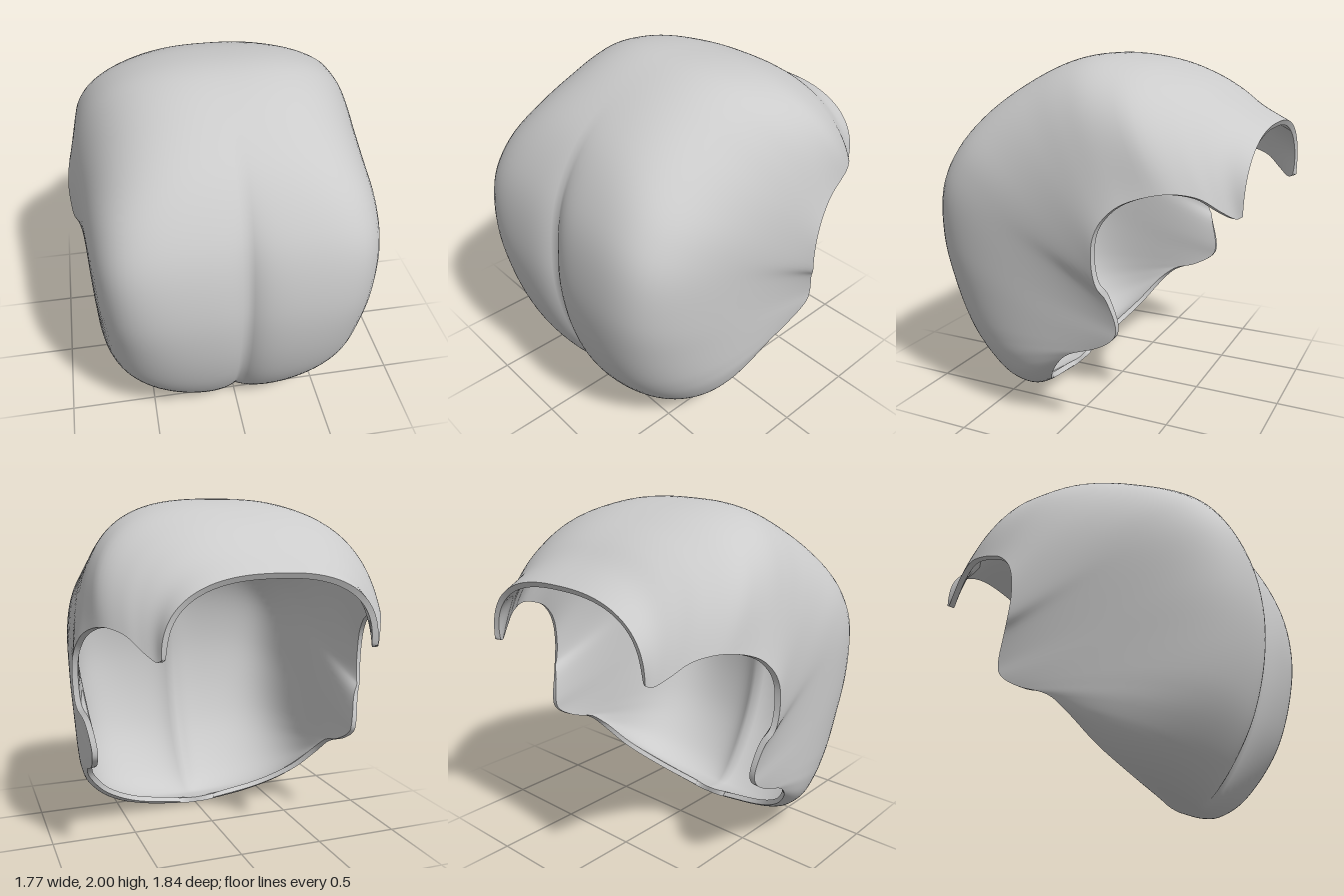
import * as THREE from 'three';

// Stations from the fringe, over the crown, down to the nape:
// [squareness, y, z] of the centre line and [x, y, z] of the side edge
const STATIONS = [
  [[2.5, 1.65, -0.92], [0.58, 1.26, -0.91]],
  [[2.5, 1.74, -0.75], [0.60, 1.25, -0.88]],
  [[2.5, 1.84, -0.60], [0.645, 1.29, -0.82]],
  [[2.5, 1.91, -0.45], [0.71, 1.36, -0.72]],
  [[2.6, 1.97, -0.25], [0.79, 1.38, -0.58]],
  [[2.7, 2.00, 0.00], [0.84, 1.33, -0.40]],
  [[2.7, 1.97, 0.20], [0.87, 1.25, -0.30]],
  [[2.9, 1.87, 0.42], [0.885, 1.15, -0.25]],
  [[3.6, 1.71, 0.64], [0.885, 1.02, -0.24]],
  [[5, 1.50, 0.80], [0.875, 0.90, -0.26]],
  [[5.8, 1.28, 0.89], [0.84, 0.82, -0.30]],
  [[5.3, 1.00, 0.925], [0.815, 0.68, -0.34]],
  [[4.4, 0.72, 0.90], [0.81, 0.60, -0.32]],
  [[3.7, 0.46, 0.83], [0.80, 0.53, -0.22]],
  [[3, 0.26, 0.73], [0.79, 0.46, -0.05]],
  [[2.5, 0.09, 0.60], [0.75, 0.36, 0.05]],
  [[2.1, 0.005, 0.48], [0.63, 0.22, 0.15]],
  [[2, 0, 0.38], [0.42, 0.10, 0.25]],
  [[2, 0.015, 0.30], [0.12, 0.035, 0.29]],
];
const ROWS = 90, COLS = 80, THICKNESS = 0.032;

const curve = (k) => new THREE.CatmullRomCurve3(
  STATIONS.map((s) => new THREE.Vector3(...s[k])), false, 'catmullrom', 0.5);

// Grid of points: each row is a superellipse arch from edge to edge
function outerPoints() {
  const centre = curve(0), edge = curve(1), pts = [];
  const { smoothstep, lerp } = THREE.MathUtils;
  for (let i = 0; i <= ROWS; i++) {
    const t = i / ROWS, o = centre.getPoint(t), e = edge.getPoint(t), n = o.x;
    const st = t * (STATIONS.length - 1);
    const length = Math.hypot(e.y - o.y, e.z - o.z);
    // parting groove, deepest down the middle
    const groove = 0.08 * smoothstep(st, 7, 11) * (1 - 0.8 * smoothstep(st, 13, 17));
    for (let j = 0; j <= COLS; j++) {
      const a = (j / COLS - 0.5) * Math.PI;
      const s = Math.abs(Math.sin(a)), c = Math.max(0, Math.cos(a));
      const r = Math.pow(Math.pow(s, n) + Math.pow(c, n), -1 / n);
      let k = 1 - r * c;
      // the wall flares outwards around the ear
      const x = Math.min(e.x, 0.8) * r * s + Math.max(0, e.x - 0.8) * k ** 2.5;
      k += (groove / Math.max(length, 0.1)) * Math.exp(-x / 0.085) * (1 - k);
      pts.push(new THREE.Vector3(Math.sign(a) * x, lerp(o.y, e.y, k), lerp(o.z, e.z, k)));
    }
  }
  return pts;
}

function sheet(points, inward) {
  const index = [], w = COLS + 1;
  for (let i = 0; i < ROWS; i++) {
    for (let j = 0; j < COLS; j++) {
      const a = i * w + j, b = a + w, c = b + 1, d = a + 1;
      if (inward) index.push(a, c, b, a, d, c);
      else index.push(a, b, c, a, c, d);
    }
  }
  const g = new THREE.BufferGeometry().setFromPoints(points);
  g.setIndex(index);
  g.computeVertexNormals();
  return g;
}

// Strip that closes the gap between the two sheets all round the border
function rim(outer, inner) {
  const w = COLS + 1, loop = [];
  for (let i = 0; i < ROWS; i++) loop.push(i * w);
  for (let j = 0; j < COLS; j++) loop.push(ROWS * w + j);
  for (let i = ROWS; i > 0; i--) loop.push(i * w + COLS);
  for (let j = COLS; j > 0; j--) loop.push(j);
  const pts = [], index = [];
  loop.forEach((p, m) => {
    pts.push(outer[p], inner[p]);
    const a = 2 * m, b = 2 * ((m + 1) % loop.length);
    index.push(b, a, a + 1, b, a + 1, b + 1);
  });
  const g = new THREE.BufferGeometry().setFromPoints(pts);
  g.setIndex(index);
  g.computeVertexNormals();
  return g;
}

export function createModel() {
  const group = new THREE.Group();
  group.name = 'hair';
  const material = new THREE.MeshStandardMaterial({ color: 0xcccccc, side: THREE.DoubleSide });
  const add = (name, geometry) => {
    const mesh = new THREE.Mesh(geometry, material);
    mesh.name = name;
    group.add(mesh);
  };

  const outer = outerPoints();
  const outerSheet = sheet(outer, false);
  const normals = outerSheet.attributes.normal;
  const inner = outer.map((p, i) =>
    new THREE.Vector3().fromBufferAttribute(normals, i).multiplyScalar(-THICKNESS).add(p));

  add('outerHair', outerSheet);
  add('innerHair', sheet(inner, true));
  add('hairline', rim(outer, inner));
  return group;
}
